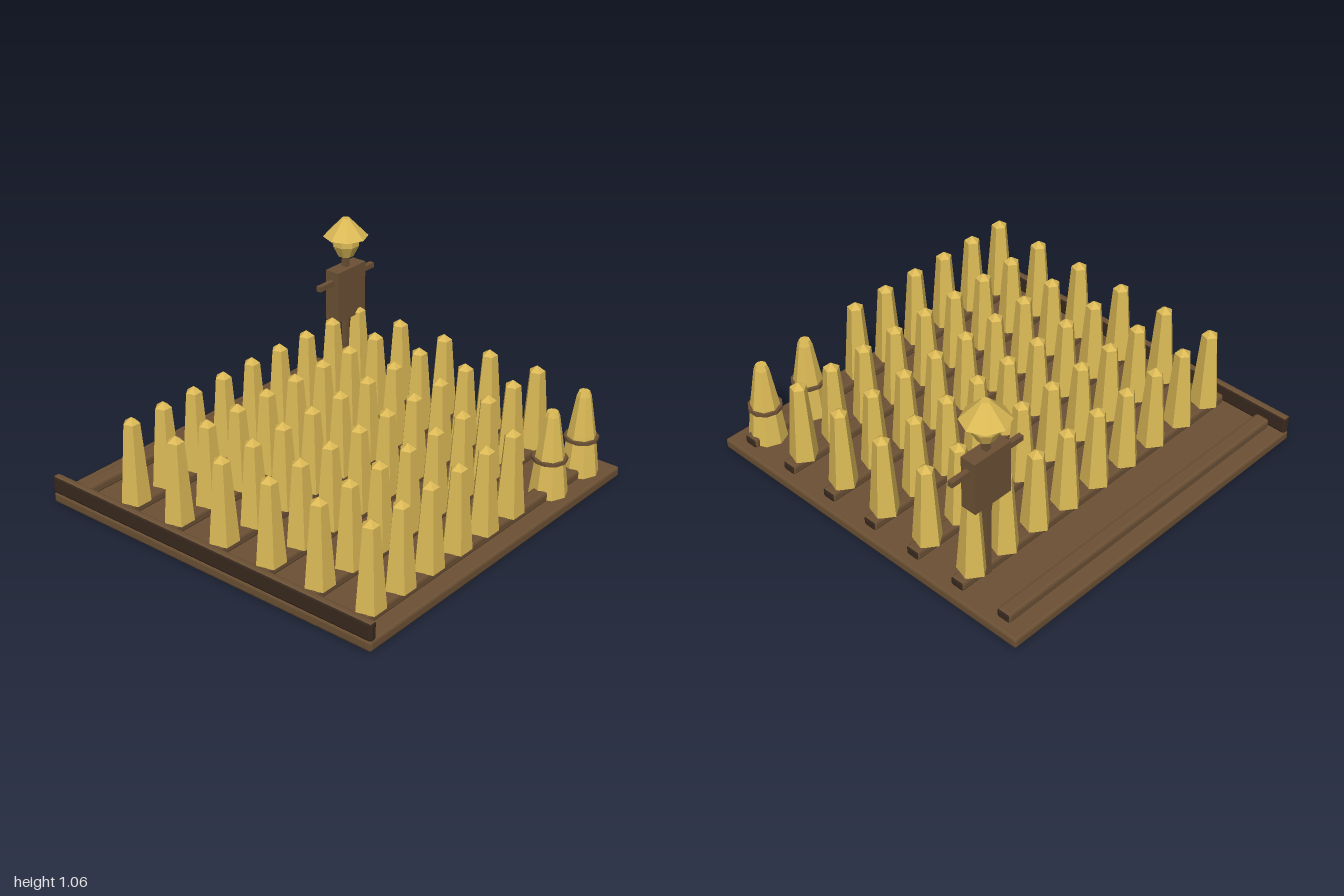
import * as THREE from 'three';
import { RoundedBoxGeometry } from 'three/addons/geometries/RoundedBoxGeometry.js';

const mat = (name, color) => {
  const m = new THREE.MeshStandardMaterial({ color, flatShading: true });
  m.name = name;
  return m;
};

export function createModel() {
  const soil = mat('soil brown', 0x6b5034);
  const dark = mat('dark wood', 0x38291e);
  const straw = mat('straw gold', 0xdbb956);
  const model = new THREE.Group();
  model.name = 'cropField';

  const add = (parent, name, geometry, material, x = 0, y = 0, z = 0) => {
    const mesh = new THREE.Mesh(geometry, material);
    mesh.name = name;
    mesh.position.set(x, y, z);
    parent.add(mesh);
    return mesh;
  };
  const group = (name, x, y, z) => {
    const g = new THREE.Group();
    g.name = name;
    g.position.set(x, y, z);
    model.add(g);
    return g;
  };
  const profile = (points, sides, start = 0) =>
    new THREE.LatheGeometry(points.map(([r, y]) => new THREE.Vector2(r, y)), sides, start);

  // Ground slab with a dark underside, and the low wall with a soil-topped edge
  // (box materials run right, left, top, bottom, front, back)
  add(model, 'ground', new RoundedBoxGeometry(2, 0.055, 2, 1, 0.012),
    [soil, soil, soil, dark, soil, soil], 0, 0.0275, 0);
  add(model, 'edgeWall', new RoundedBoxGeometry(0.042, 0.095, 2, 1, 0.012),
    [dark, dark, soil, dark, dark, dark], -0.979, 0.0995, 0);

  // Raised furrows with dark ends, all but the rearmost planted with stalks
  const furrow = new RoundedBoxGeometry(1.9, 0.055, 0.08, 1, 0.014);
  const furrowColours = [dark, dark, soil, dark, soil, soil];
  const stalk = profile([[0, 0], [0.076, 0], [0.042, 0.42], [0, 0.45]], 5, Math.PI);
  for (let row = 0; row < 7; row++) {
    const z = -0.87 + row * 0.29;
    add(model, 'furrow', furrow, furrowColours, -0.005, 0.075, z);
    if (row === 0) continue;
    const count = row === 6 ? 6 : 9;
    for (let i = 0; i < count; i++) {
      add(model, 'stalk', stalk, straw, -0.845 + i * 0.2107, 0.1, z);
    }
  }

  // Two tied sheaves in the front corner
  const sheaf = profile([[0, 0], [0.099, 0], [0.073, 0.21], [0.038, 0.42], [0.028, 0.445], [0, 0.445]], 8);
  const tie = new THREE.CylinderGeometry(0.089, 0.089, 0.016, 10);
  for (const x of [0.555, 0.835]) {
    const g = group('sheaf', x, 0.058, 0.865);
    add(g, 'sheafStraw', sheaf, straw);
    add(g, 'sheafTie', tie, soil, 0, 0.19, 0);
  }

  // Scarecrow
  const s = group('scarecrow', 0.777, 0, -0.61);
  add(s, 'post', new THREE.BoxGeometry(0.03, 0.82, 0.03), soil, 0, 0.46, 0);
  add(s, 'torso', new THREE.BoxGeometry(0.225, 0.285, 0.085), soil, 0, 0.648, 0);
  add(s, 'arms', new THREE.BoxGeometry(0.445, 0.028, 0.028), soil, 0, 0.727, 0);
  add(s, 'head', profile([[0, 0.845], [0.042, 0.85], [0.074, 0.912], [0.074, 0.965], [0, 0.985]], 8, Math.PI / 8), straw);
  add(s, 'hat', profile([[0, 0.96], [0.12, 0.96], [0.022, 1.06], [0, 1.06]], 8), straw);

  return model;
}
